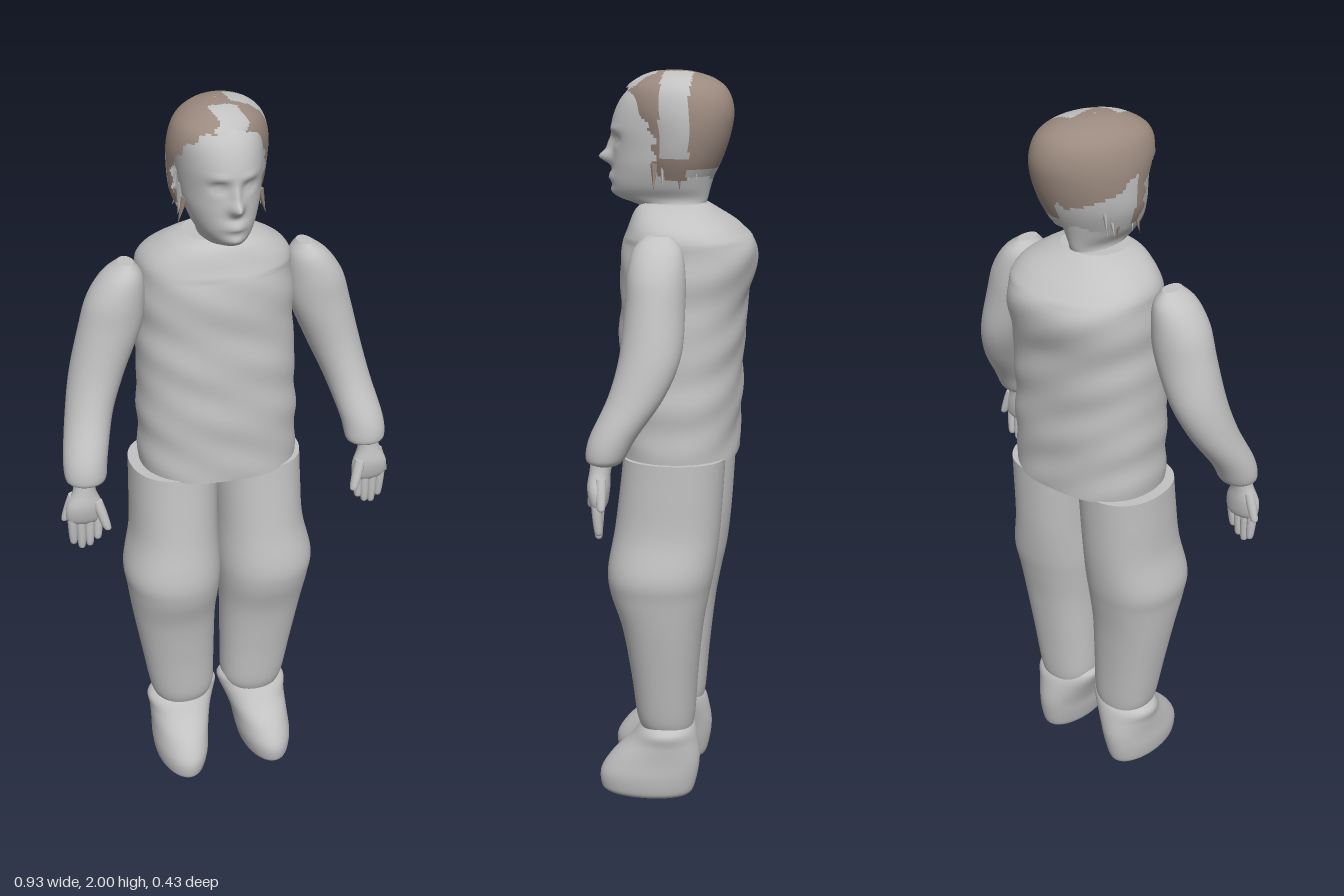
import * as THREE from 'three';

const grey = new THREE.MeshStandardMaterial({ color: 0xc2c2c2, side: THREE.DoubleSide });
grey.name = 'plain grey';
const brown = new THREE.MeshStandardMaterial({ color: 0x9b8a7f, side: THREE.DoubleSide });
brown.name = 'hair brown';

// Smooth interpolation through the cross-sections
function sample(rows, t) {
  const n = rows.length - 1;
  const i = Math.min(Math.floor(t * n), n - 1), u = t * n - i;
  const at = (k) => rows[Math.max(0, Math.min(n, k))];
  const [a, b, c, d] = [at(i - 1), at(i), at(i + 1), at(i + 2)];
  return b.map((v, k) => v + 0.5 * u * (c[k] - a[k] + u * (2 * a[k] - 5 * v + 4 * c[k] - d[k]
    + u * (3 * (v - c[k]) + d[k] - a[k]))));
}

// Skin over horizontal sections [y, xMin, xMax, zMin, zMax], listed from the bottom up.
// paint(x, y, z) gives 0 grey, 1 brown or -1 for a gap.
function loft(name, rows, { sides = 40, steps = 6, power = 2, bend, paint } = {}) {
  const m = (rows.length - 1) * steps, pos = [], faces = [[], []];
  const rounded = (v) => Math.sign(v) * Math.pow(Math.abs(v), 2 / power);
  for (let i = 0; i <= m; i++) {
    const [y, x0, x1, z0, z1] = sample(rows, i / m);
    for (let j = 0; j < sides; j++) {
      const a = (j / sides) * Math.PI * 2;
      const p = new THREE.Vector3((x0 + x1) / 2 + rounded(Math.cos(a)) * (x1 - x0) / 2, y,
        (z0 + z1) / 2 + rounded(Math.sin(a)) * (z1 - z0) / 2);
      if (bend) bend(p, a);
      pos.push(p.x, p.y, p.z);
    }
  }
  for (let i = 0; i < m; i++) for (let j = 0; j < sides; j++) {
    const a = i * sides + j, b = i * sides + (j + 1) % sides, c = a + sides, d = b + sides;
    const mid = [0, 1, 2].map((k) => (pos[a * 3 + k] + pos[d * 3 + k]) / 2);
    const tone = paint ? paint(...mid) : 0;
    if (tone >= 0) faces[tone].push(a, c, b, b, c, d);
  }
  // End caps with their own vertices for a crisp rim
  for (const top of paint ? [] : [false, true]) {
    const from = top ? m * sides : 0, start = pos.length / 3, centre = [0, 0, 0];
    for (let j = 0; j < sides; j++) for (let k = 0; k < 3; k++) {
      const v = pos[(from + j) * 3 + k];
      pos.push(v);
      centre[k] += v / sides;
    }
    pos.push(...centre);
    for (let j = 0; j < sides; j++) {
      const a = start + j, b = start + (j + 1) % sides;
      faces[0].push(start + sides, ...(top ? [b, a] : [a, b]));
    }
  }
  const geo = new THREE.BufferGeometry();
  geo.setAttribute('position', new THREE.Float32BufferAttribute(pos, 3));
  geo.setIndex([...faces[0], ...faces[1]]);
  geo.addGroup(0, faces[0].length, 0);
  geo.addGroup(faces[0].length, faces[1].length, 1);
  geo.computeVertexNormals();
  const mesh = new THREE.Mesh(geo, paint ? [grey, brown] : grey);
  mesh.name = name;
  return mesh;
}

const mirror = (rows) => rows.map(([y, x0, x1, z0, z1]) => [y, -x1, -x0, z0, z1]);
const bump = (p, x, y, w, h) => Math.exp(-(((p.x - x) / w) ** 2) - ((p.y - y) / h) ** 2);

export function createModel() {
  const model = new THREE.Group();
  model.name = 'figure';

  // Torso with soft cloth wrinkles
  model.add(loft('torso', [
    [0.98, -0.21, 0.225, -0.17, 0.155], [1.1, -0.212, 0.225, -0.175, 0.157],
    [1.25, -0.21, 0.22, -0.18, 0.155], [1.4, -0.207, 0.215, -0.192, 0.15],
    [1.53, -0.205, 0.212, -0.215, 0.148], [1.59, -0.19, 0.198, -0.175, 0.13],
    [1.635, -0.135, 0.14, -0.11, 0.112], [1.655, -0.085, 0.09, -0.08, 0.09],
  ], {
    sides: 64, steps: 8, power: 2.25,
    bend: (p, a) => {
      const w = 0.0035 * Math.sin(p.y * 48 + p.x * 17) * Math.sin(p.x * 14 + p.y * 9 + 1) * (p.y < 1.56 ? 1 : 0.2);
      p.x += Math.cos(a) * w;
      p.z += Math.sin(a) * w;
    },
  }));

  // Rows for the model's left side
  const leg = [
    [0.2, 0.03, 0.185, -0.06, 0.085], [0.24, 0.016, 0.2, -0.066, 0.097],
    [0.36, 0.014, 0.222, -0.075, 0.11], [0.5, 0.012, 0.247, -0.09, 0.132],
    [0.6, 0.004, 0.262, -0.108, 0.163], [0.67, 0, 0.27, -0.122, 0.17],
    [0.78, 0.003, 0.247, -0.135, 0.152], [0.9, 0.001, 0.242, -0.143, 0.137],
    [0.985, 0, 0.24, -0.148, 0.128],
  ];
  const shoe = [
    [0, 0.075, 0.185, -0.05, 0.185], [0.015, 0.062, 0.198, -0.064, 0.198],
    [0.06, 0.05, 0.205, -0.076, 0.2], [0.11, 0.042, 0.204, -0.082, 0.17],
    [0.16, 0.026, 0.205, -0.076, 0.12], [0.2, 0.01, 0.207, -0.065, 0.088],
    [0.225, 0.004, 0.16, -0.045, 0.068], [0.24, 0.012, 0.075, -0.02, 0.05],
  ];
  const arm = [
    [1.03, 0.35, 0.43, 0.09, 0.16], [1.045, 0.338, 0.447, 0.075, 0.175],
    [1.1, 0.328, 0.446, 0.045, 0.166], [1.2, 0.298, 0.424, -0.022, 0.122],
    [1.3, 0.256, 0.402, -0.06, 0.098], [1.42, 0.206, 0.372, -0.064, 0.09],
    [1.5, 0.196, 0.348, -0.062, 0.088], [1.56, 0.2, 0.308, -0.05, 0.075],
    [1.595, 0.222, 0.262, -0.02, 0.045],
  ];
  const palm = [
    [0.915, 0.365, 0.435, 0.125, 0.152], [0.93, 0.355, 0.452, 0.118, 0.162],
    [0.97, 0.355, 0.452, 0.112, 0.17], [1.01, 0.37, 0.432, 0.11, 0.165],
    [1.05, 0.37, 0.425, 0.1, 0.16],
  ];
  // Finger hanging from (x, y, z) to a tip
  const finger = (x, y, z, tx, ty, tz, r) => [0, 0.06, 0.3, 0.7, 1].map((t) => {
    const s = r * [0.35, 0.75, 0.95, 1.05, 1][[0, 0.06, 0.3, 0.7, 1].indexOf(t)];
    const cx = tx + (x - tx) * t, cz = tz + (z - tz) * t;
    return [ty + (y - ty) * t, cx - s, cx + s, cz - s, cz + s];
  });

  for (const side of ['left', 'right']) {
    const own = (rows) => (side === 'left' ? rows : mirror(rows));
    model.add(loft(side + 'Leg', own(leg), { power: 2.2 }));
    model.add(loft(side + 'Shoe', own(shoe)));
    model.add(loft(side + 'Arm', own(arm)));
    const hand = new THREE.Group();
    hand.name = side + 'Hand';
    const small = { sides: 14, steps: 3 };
    hand.add(loft('palm', own(palm), { ...small, sides: 24 }));
    [0.862, 0.842, 0.835, 0.85].forEach((tip, i) => hand.add(loft('finger',
      own(finger(0.366 + i * 0.024, 0.945, 0.142, 0.372 + i * 0.021, tip, 0.148 - i * 0.004, 0.0125)), small)));
    hand.add(loft('thumb', own(finger(0.372, 0.985, 0.155, 0.348, 0.9, 0.172, 0.014)), small));
    hand.add(loft('edgeOfHand', own(finger(0.43, 1.0, 0.13, 0.456, 0.92, 0.125, 0.013)), small));
    model.add(hand);
  }

  // Head with sculpted nose, eye sockets, lips and chin
  model.add(loft('head', [
    [1.61, -0.055, 0.062, -0.07, 0.06], [1.645, -0.052, 0.06, -0.075, 0.1],
    [1.668, -0.055, 0.062, -0.082, 0.16], [1.7, -0.074, 0.08, -0.09, 0.176],
    [1.75, -0.092, 0.097, -0.105, 0.175], [1.8, -0.1, 0.105, -0.12, 0.173],
    [1.86, -0.105, 0.11, -0.135, 0.177], [1.92, -0.105, 0.11, -0.135, 0.155],
    [1.96, -0.085, 0.095, -0.115, 0.118], [1.983, -0.055, 0.06, -0.07, 0.08],
    [1.99, -0.01, 0.015, -0.01, 0.02],
  ], {
    sides: 96, steps: 8,
    bend: (p) => {
      if (p.z < 0.07) return;
      p.z += 0.036 * bump(p, 0.003, 1.772, 0.017, 0.017) + 0.017 * bump(p, 0.003, 1.802, 0.012, 0.025)
        + 0.013 * bump(p, 0.003, 1.722, 0.028, 0.011) - 0.006 * bump(p, 0.003, 1.722, 0.03, 0.003)
        + 0.008 * bump(p, 0.003, 1.682, 0.025, 0.014);
      for (const x of [-0.036, 0.042]) {
        p.z += -0.014 * bump(p, x, 1.822, 0.021, 0.013) + 0.008 * bump(p, x, 1.82, 0.012, 0.006)
          + 0.005 * bump(p, x, 1.848, 0.025, 0.009);
      }
    },
  }));

  // Patchy hair shell, open over the face
  model.add(loft('hair', [
    [1.7, -0.09, 0.1, -0.085, 0.1], [1.77, -0.12, 0.128, -0.122, 0.12],
    [1.84, -0.128, 0.14, -0.146, 0.13], [1.9, -0.126, 0.14, -0.154, 0.152],
    [1.95, -0.11, 0.125, -0.138, 0.143], [1.98, -0.077, 0.092, -0.1, 0.105],
    [1.996, -0.035, 0.045, -0.045, 0.06], [2, -0.002, 0.004, -0.002, 0.004],
  ], {
    sides: 96, steps: 8,
    bend: (p) => { p.x -= 0.2 * p.z; },
    paint: (x, y, z) => {
      const ragged = 0.008 * Math.sin(y * 140 + x * 60);
      if (z > 0.045 + ragged + 0.8 * Math.max(0, y - 1.84)) return -1;
      if (y < 1.725 + ragged) return -1;
      if (x > 0.03 && z > -0.05 && z < 0.03 && y > 1.78) return 0;
      if (Math.abs(x - 0.01) < 0.04 + ragged && z > 0.05 && y > 1.94) return 0;
      if (x < 0.02 && z < 0.01 && y < 1.86 + 0.5 * z + ragged) return 0;
      return y < 1.75 && z < -0.04 ? 0 : 1;
    },
  }));

  // Thin wisps around the jaw and ears
  for (let i = 0; i < 12; i++) {
    const s = i % 2 ? 1 : -1, k = Math.floor(i / 2);
    const wisp = new THREE.Mesh(new THREE.ConeGeometry(0.011, 0.07 + 0.015 * (k % 3), 5), k % 3 ? grey : brown);
    wisp.name = 'hairWisp';
    wisp.position.set(s * (0.108 - 0.003 * k) + 0.006, 1.73 + 0.02 * (k % 3), 0.045 - k * 0.022);
    wisp.rotation.set(0, 0, Math.PI + s * (0.25 - 0.1 * (k % 4)));
    model.add(wisp);
  }
  return model;
}
